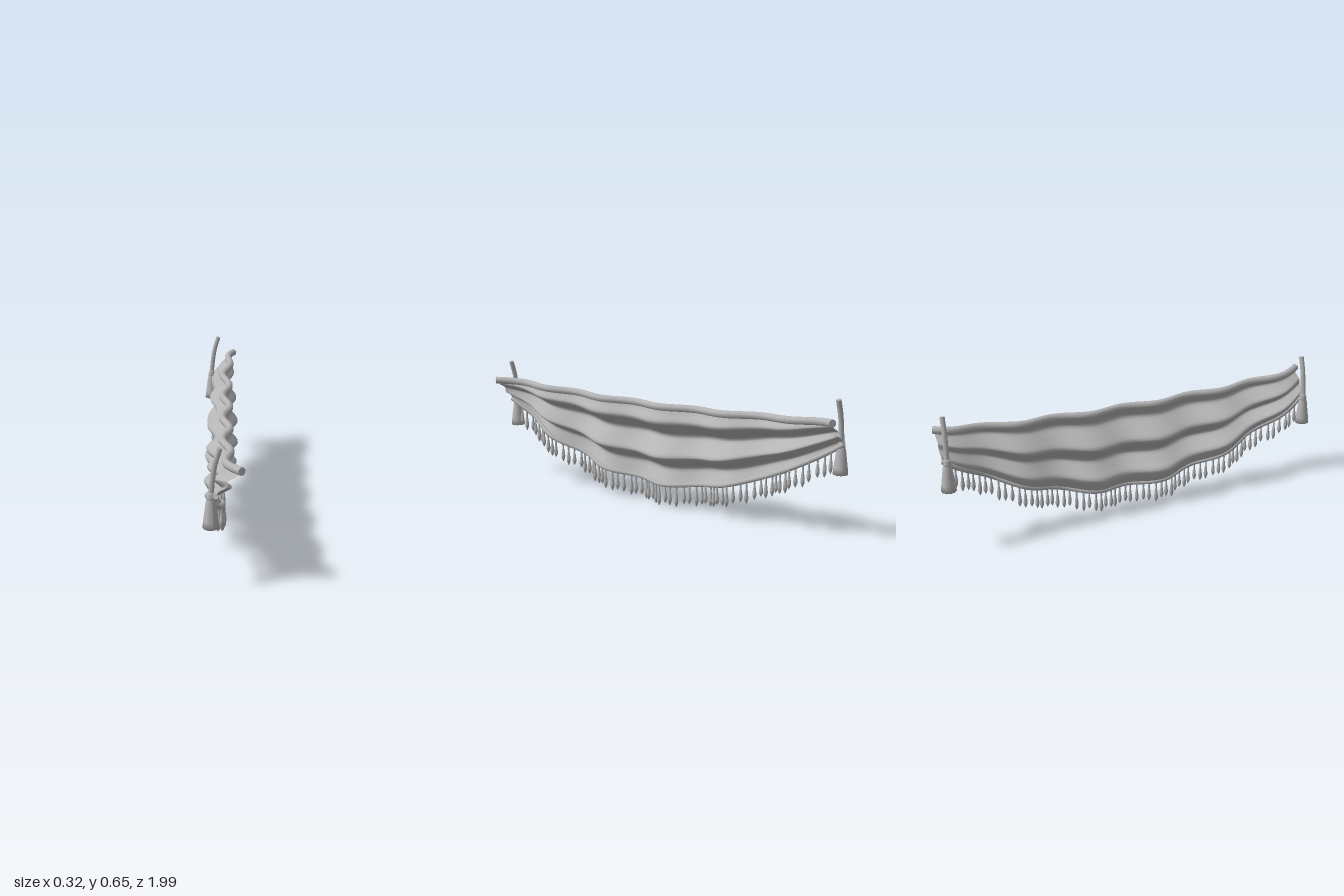
import * as THREE from 'three';

const V = (x, y, z) => new THREE.Vector3(x, y, z);
const cloth = new THREE.MeshStandardMaterial({ color: 0xb4b4b4, side: THREE.DoubleSide });
cloth.name = 'greyCloth';

// Sideways ripple shared by the whole drape, and its slanting edges
const ripple = z => 0.017 * Math.cos((2 * Math.PI * (z + 0.04)) / 0.36);
const flare = z => Math.pow(Math.abs(z), 9);
const topEdge = z => V(
  0.015 + 0.065 * z + ripple(z) + flare(z) * 0.062,
  0.507 - 0.018 * z + 0.037 * z * z, z);
const bottomEdge = z => V(
  -0.025 + 0.07 * z + ripple(z) * (1.5 - flare(z)) - flare(z) * 0.015,
  0.112 - 0.018 * z + 0.33 * z * z, z);

// Fold profile: sideways offset against distance down the cloth
const foldCurve = new THREE.SplineCurve([
  [0, 0], [0.07, 0.014], [0.18, 0.045], [0.28, -0.005], [0.39, -0.06], [0.5, -0.02],
  [0.62, 0.036], [0.71, 0], [0.8, -0.05], [0.91, -0.028], [1, 0],
].map(p => new THREE.Vector2(...p)));

// Folds are deepest mid-span and gather flat towards both ends
function clothPoint(z, u) {
  const f = foldCurve.getPoint(u);
  const p = topEdge(z).lerp(bottomEdge(z), f.x);
  p.x += f.y * (1 - 0.6 * z * z - 0.3 * flare(z));
  return p;
}

function mesh(geometry, name) {
  const m = new THREE.Mesh(geometry, cloth);
  m.name = name;
  return m;
}

// Tube along points, with flat ends
function cappedTube(points, radius, segments, sides, name) {
  const group = new THREE.Group();
  group.name = name;
  const curve = new THREE.CatmullRomCurve3(points);
  group.add(mesh(new THREE.TubeGeometry(curve, segments, radius, sides), name + 'Body'));
  for (const t of [0, 1]) {
    const cap = mesh(new THREE.CircleGeometry(radius, sides), name + 'End');
    cap.position.copy(curve.getPoint(t));
    const out = curve.getTangent(t).multiplyScalar(t ? 1 : -1);
    cap.quaternion.setFromUnitVectors(V(0, 0, 1), out);
    group.add(cap);
  }
  return group;
}

function makeDrape() {
  const nz = 110, nu = 40;
  const g = new THREE.PlaneGeometry(1, 1, nz, nu);
  const pos = g.attributes.position;
  for (let j = 0; j <= nu; j++) {
    for (let i = 0; i <= nz; i++) {
      const p = clothPoint(0.98 - (1.96 * i) / nz, j / nu);
      pos.setXYZ(j * (nz + 1) + i, p.x, p.y, p.z);
    }
  }
  g.computeVertexNormals();
  return mesh(g, 'drape');
}

const lathe = (pts, sides) =>
  new THREE.LatheGeometry(pts.map(p => new THREE.Vector2(...p)), sides);

// Tassel with collar, skirt and hanging cord
function makeTassel(x, y, z, name) {
  const group = new THREE.Group();
  group.name = name;
  const skirt = lathe([[0, -0.15], [0.034, -0.15], [0.031, -0.12], [0.026, -0.08],
    [0.021, -0.04], [0.016, -0.02]], 20);
  // Shallow pleats around the skirt
  const pos = skirt.attributes.position;
  for (let i = 0; i < pos.count; i++) {
    const a = Math.atan2(pos.getZ(i), pos.getX(i));
    const k = 1 + 0.05 * Math.cos(a * 10);
    pos.setX(i, pos.getX(i) * k);
    pos.setZ(i, pos.getZ(i) * k);
  }
  skirt.computeVertexNormals();
  group.add(mesh(skirt, 'tasselSkirt'));
  group.add(mesh(lathe([[0.014, -0.03], [0.018, -0.024], [0.018, -0.014], [0.015, -0.008],
    [0.017, -0.002], [0.013, 0.005], [0, 0.006]], 16), 'tasselCollar'));
  group.add(cappedTube([V(0, 0, 0), V(0.006, 0.06, 0), V(0.016, 0.125, 0), V(0.037, 0.195, 0)],
    0.012, 16, 10, 'tasselCord'));
  group.position.set(x, y, z);
  return group;
}

export function createModel() {
  const model = new THREE.Group();
  model.name = 'fringedSwag';
  model.add(makeDrape());

  const sample = (fn, n, end) =>
    Array.from({ length: n + 1 }, (_, i) => fn(end - (2 * end * i) / n));
  model.add(cappedTube(sample(topEdge, 70, 0.985), 0.018, 120, 10, 'topRoll'));
  model.add(cappedTube(sample(bottomEdge, 70, 0.98), 0.011, 120, 8, 'bottomHem'));

  // Fringe of pointed drops, with slightly varied lengths
  const drop = lathe([[0, -0.1], [0.004, -0.094], [0.0095, -0.08], [0.01, -0.07],
    [0.007, -0.045], [0.004, -0.03], [0.005, -0.018], [0.004, 0]], 8);
  const fringe = new THREE.Group();
  fringe.name = 'fringe';
  const count = 62;
  for (let i = 0; i < count; i++) {
    const d = mesh(drop, 'fringeDrop');
    d.position.copy(bottomEdge(0.92 - (1.84 * i) / (count - 1)));
    d.position.x += 0.006 * Math.sin(i * 2.3);
    d.scale.y = 1.02 + 0.09 * Math.sin(i * 1.9);
    fringe.add(d);
  }
  model.add(fringe);

  // Corner ties joining the hem to the tassels
  const tassels = [[0.015, 0.42, 0.963, 'frontTassel'], [-0.127, 0.455, -0.96, 'backTassel']];
  for (const [x, y, z, name] of tassels) {
    model.add(makeTassel(x, y, z, name));
    const corner = bottomEdge(Math.sign(z) * 0.97);
    model.add(cappedTube([V(x, y - 0.005, z), corner.clone().lerp(V(x, y, z), 0.5), corner],
      0.012, 6, 8, 'cornerTie'));
  }
  return model;
}
